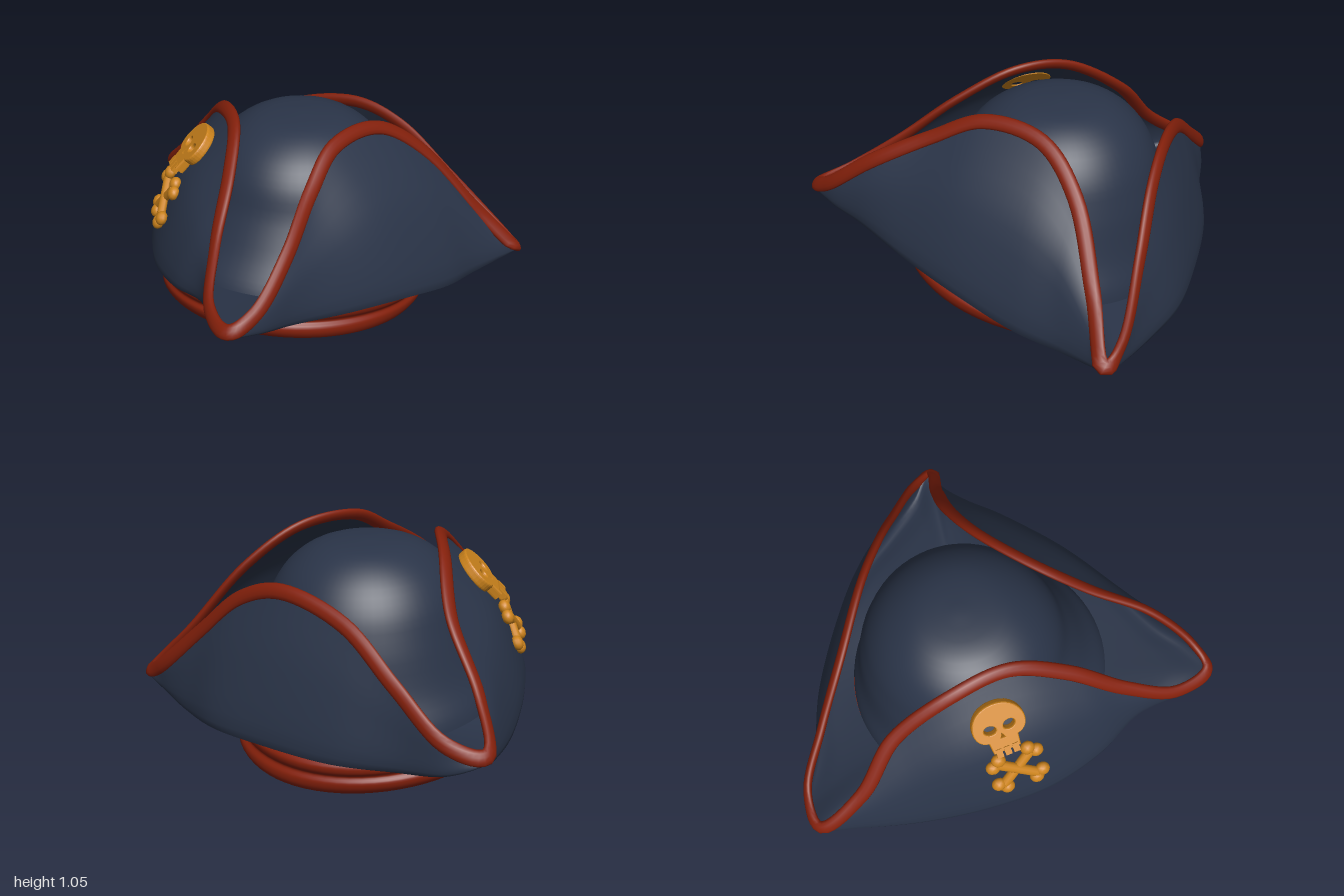
import * as THREE from 'three';
import { mergeVertices } from 'three/addons/utils/BufferGeometryUtils.js';

const mat = (name, color, side = THREE.DoubleSide) => {
  const m = new THREE.MeshStandardMaterial({ color, side });
  m.name = name;
  return m;
};
const V = (x, y, z) => new THREE.Vector3(x, y, z);
const V2 = ([x, y]) => new THREE.Vector2(x, y);
const loop = (pts) => new THREE.CatmullRomCurve3(pts.map((p) => V(...p)), true);

// Lower fold of the brim, from the front tip round by the left
const fold = loop([
  [0.12, 0.46, 0.925], [0.22, 0.44, 0.82], [0.31, 0.41, 0.65], [0.48, 0.37, 0.4],
  [0.65, 0.32, 0.1], [0.77, 0.25, -0.2], [0.83, 0.22, -0.42], [0.91, 0.23, -0.57],
  [0.98, 0.26, -0.66], [0.84, 0.21, -0.7], [0.62, 0.19, -0.79], [0.38, 0.2, -0.885],
  [0.1, 0.21, -0.92], [-0.3, 0.22, -0.92], [-0.6, 0.24, -0.86], [-0.85, 0.28, -0.835],
  [-0.975, 0.33, -0.76], [-0.92, 0.28, -0.55], [-0.82, 0.25, -0.25], [-0.7, 0.3, 0.05],
  [-0.55, 0.33, 0.3], [-0.35, 0.37, 0.5], [-0.15, 0.41, 0.63], [0, 0.44, 0.83],
]);
// Upper edge of the turned-up flaps, matching point for point
const edge = loop([
  [0.12, 0.5, 0.91], [0.2, 0.56, 0.83], [0.25, 0.74, 0.6], [0.235, 0.9, 0.3],
  [0.25, 1.02, 0.05], [0.36, 1.01, -0.25], [0.53, 0.84, -0.44], [0.77, 0.52, -0.57],
  [0.965, 0.3, -0.65], [0.86, 0.36, -0.7], [0.58, 0.6, -0.715], [0.33, 0.81, -0.72],
  [0.08, 0.89, -0.735], [-0.28, 0.81, -0.755], [-0.57, 0.61, -0.8], [-0.83, 0.43, -0.825],
  [-0.965, 0.38, -0.74], [-0.82, 0.54, -0.57], [-0.6, 0.8, -0.45], [-0.4, 1.0, -0.2],
  [-0.24, 1.02, 0.02], [-0.15, 0.88, 0.28], [-0.1, 0.67, 0.55], [-0.02, 0.52, 0.79],
]);

const bandBase = (z) => 0.12 + 0.14 * z;
const chord = (curve, u) => curve.getPoint((u + 0.004) % 1).sub(curve.getPoint((u + 0.996) % 1)).normalize();

// Cross-section: head opening, underside, fold, bulging flap, upper edge
function section(u) {
  const f = fold.getPoint(u), e = edge.getPoint(u);
  const rise = e.clone().sub(f);
  const out = chord(fold, u).cross(rise).normalize();
  const a = Math.atan2(f.x + 0.04, f.z + 0.18);
  const ring = V(-0.04 + 0.59 * Math.sin(a), 0, -0.18 + 0.62 * Math.cos(a));
  ring.y = bandBase(ring.z) + 0.195;
  const bulge = 0.1 * rise.length() * (1 - 0.6 * Math.max(0, -out.z));
  const mid = f.clone().lerp(e, 0.5).addScaledVector(out, bulge);
  return new THREE.CatmullRomCurve3([ring, ring.clone().lerp(f, 0.6), f, mid, e]);
}
const onBrim = (u, v) => section(u).getPoint(v);

// Skin over rows that run in a closed loop
function loft(rows, closedRow) {
  const n = rows.length, m = rows[0].length, index = [];
  for (let i = 0; i < n; i++) {
    for (let k = 0; k < (closedRow ? m : m - 1); k++) {
      const i2 = (i + 1) % n, k2 = (k + 1) % m;
      const a = i * m + k, b = i2 * m + k, c = i2 * m + k2, d = i * m + k2;
      index.push(a, b, c, a, c, d);
    }
  }
  const g = new THREE.BufferGeometry().setFromPoints(rows.flat());
  g.setIndex(index);
  g.computeVertexNormals();
  return g;
}

// Lathe whose vertices are moved by a rule, smooth over the seam
function shapedLathe(points, rule, segments = 64, start = 0, length = Math.PI * 2) {
  let g = new THREE.LatheGeometry(points, segments, start, length);
  g.deleteAttribute('uv');
  g.deleteAttribute('normal');
  const p = g.attributes.position, v = V(0, 0, 0);
  for (let i = 0; i < p.count; i++) {
    rule(v.fromBufferAttribute(p, i));
    p.setXYZ(i, v.x, v.y, v.z);
  }
  g = mergeVertices(g, 1e-5);
  g.computeVertexNormals();
  return g;
}

export function createModel() {
  const hat = new THREE.Group();
  hat.name = 'tricornHat';
  const navy = mat('navy felt', 0x2a3448);
  const red = mat('red trim', 0x84200b);
  const dark = mat('dark red patch', 0x4a0c12);
  const gold = mat('gold', 0xcc831c, THREE.FrontSide);
  const add = (name, geometry, material, parent = hat) => {
    const mesh = new THREE.Mesh(geometry, material);
    mesh.name = name;
    parent.add(mesh);
    return mesh;
  };

  // Brim with three turned-up flaps, and a flat ribbon wrapped over its edge
  const N = 192, brimRows = [], trimRows = [];
  for (let i = 0; i < N; i++) {
    const u = i / N, s = section(u), along = chord(edge, u);
    brimRows.push(s.getPoints(20));
    const up = s.getPoint(1).sub(s.getPoint(0.9));
    up.addScaledVector(along, -up.dot(along)).normalize();
    const out = along.clone().cross(up);
    const c = edge.getPoint(u).addScaledVector(up, -0.018);
    trimRows.push(Array.from({ length: 12 }, (_, k) => {
      const a = (k / 12) * Math.PI * 2;
      return c.clone().addScaledVector(up, 0.036 * Math.cos(a)).addScaledVector(out, -0.02 * Math.sin(a));
    }));
  }
  add('brim', loft(brimRows, false), navy);
  add('brimTrim', loft(trimRows, true), red);

  // Domed crown, its foot tilted with the head band
  const crownProfile = new THREE.SplineCurve([[0.62, 0.24], [0.6, 0.33], [0.54, 0.46], [0.48, 0.65],
    [0.43, 0.8], [0.34, 0.92], [0.2, 1.0], [0, 1.02]].map(V2)).getPoints(28);
  crownProfile[28].x = 0;
  add('crown', shapedLathe(crownProfile, (v) => {
    const t = (v.y - 0.24) / 0.78;
    v.y += 0.14 * v.z * (1 - t);
    v.z = v.z * (v.z > 0 ? 1.04 : 1) - 0.18 - 0.07 * Math.min(1, t * 2);
    v.x -= 0.025;
  }), navy);

  // Wrinkled head band
  const tilt = (v) => {
    const a = Math.atan2(v.x, v.z), w = 1 + 0.008 * Math.sin(3 * a + v.y * 25);
    v.x = v.x * w * 0.945 - 0.038;
    v.z = v.z * w * 0.99 - 0.18;
    v.y += bandBase(v.z);
  };
  const bandProfile = new THREE.SplineCurve([[0.61, 0.01], [0.65, -0.002], [0.68, 0.03], [0.685, 0.065],
    [0.668, 0.09], [0.688, 0.12], [0.688, 0.155], [0.65, 0.175], [0.605, 0.16], [0.6, 0.08],
    [0.61, 0.01]].map(V2)).getPoints(40);
  add('headBand', shapedLathe(bandProfile, tilt, 72), red);

  // Dark patch on the left of the band, outside and inside
  const arc = [1.75, 0.78];
  add('bandPatchOuter', shapedLathe([[0.676, 0.09], [0.696, 0.12], [0.697, 0.155], [0.655, 0.182]].map(V2),
    tilt, 16, ...arc), dark);
  add('bandPatchInner', shapedLathe([[0.594, 0.065], [0.597, 0.16]].map(V2), tilt, 16, ...arc), dark);

  // Badge parts lie on the right flap
  const place = (group, u, v, lift) => {
    const e = 0.01, p = onBrim(u, v);
    const y = onBrim(u, v + e).sub(onBrim(u, v - e)).normalize();
    const z = onBrim(u + e, v).sub(onBrim(u - e, v)).cross(y).normalize();
    const x = y.clone().cross(z);
    group.quaternion.setFromRotationMatrix(new THREE.Matrix4().makeBasis(x, y, z));
    group.position.copy(p).addScaledVector(z, lift);
    hat.add(group);
  };

  // Skull with pierced eyes and nose
  const skull = new THREE.Group();
  skull.name = 'skullBadge';
  const head = new THREE.Shape();
  head.moveTo(-0.06, -0.12);
  head.lineTo(0.06, -0.12);
  head.lineTo(0.066, -0.06);
  head.bezierCurveTo(0.155, -0.05, 0.135, 0.12, 0, 0.12);
  head.bezierCurveTo(-0.135, 0.12, -0.155, -0.05, -0.066, -0.06);
  for (const s of [-1, 1]) {
    const eye = new THREE.Path();
    eye.absellipse(s * 0.046, 0, 0.034, 0.028, 0, Math.PI * 2, true, s * 0.3);
    head.holes.push(eye);
  }
  head.holes.push(new THREE.Path([[0, -0.025], [0.016, -0.06], [-0.016, -0.06]].map(V2)));
  add('skull', new THREE.ExtrudeGeometry(head, {
    depth: 0.022, bevelThickness: 0.012, bevelSize: 0.006, bevelSegments: 3, curveSegments: 16,
  }), gold, skull);
  for (let i = -1; i <= 1; i++) {
    add('tooth', new THREE.BoxGeometry(0.03, 0.045, 0.03), gold, skull).position.set(i * 0.04, -0.125, 0.024);
  }
  place(skull, 19.5 / 24, 0.85, 0.004);

  // Crossed bones with knobbed ends
  const bones = new THREE.Group();
  bones.name = 'crossedBones';
  for (const s of [-1, 1]) {
    const bone = new THREE.Group();
    bone.name = 'bone';
    add('shaft', new THREE.CylinderGeometry(0.026, 0.026, 0.24, 12), gold, bone);
    for (const end of [-1, 1]) for (const side of [-1, 1]) {
      add('knob', new THREE.SphereGeometry(0.035, 12, 8), gold, bone).position.set(side * 0.025, end * 0.125, 0);
    }
    bone.rotation.z = s * 0.8;
    bone.position.z = s * 0.004;
    bone.scale.z = 0.8;
    bones.add(bone);
  }
  place(bones, 19.55 / 24, 0.69, 0.012);

  return hat;
}
